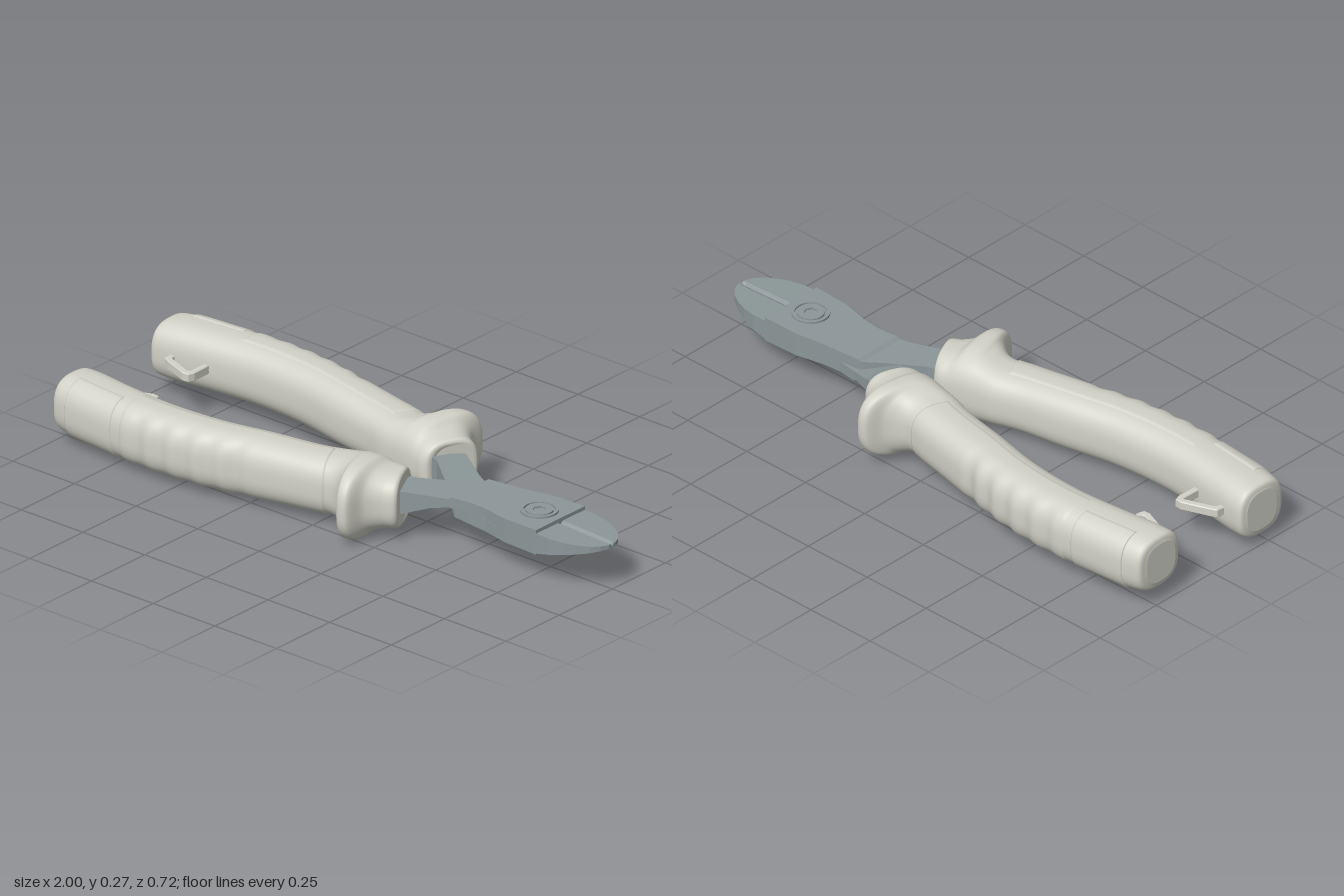
import * as THREE from 'three';
import { mergeVertices } from 'three/addons/utils/BufferGeometryUtils.js';

const metal = new THREE.MeshStandardMaterial({ color: 0x8c9799 });
const rubber = new THREE.MeshStandardMaterial({ color: 0xd2d2c8 });
const AXIS = 0.137; // height of the half-turn axis between the two levers

function add(parent, name, geometry, material) {
  const mesh = new THREE.Mesh(geometry, material);
  mesh.name = name;
  parent.add(mesh);
  return mesh;
}

// Smooth surface from f(u, v), both 0..1
function surface(f, nu, nv) {
  const pos = [], index = [];
  for (let i = 0; i <= nu; i++)
    for (let j = 0; j <= nv; j++) pos.push(...f(i / nu, j / nv).toArray());
  for (let i = 0; i < nu; i++)
    for (let j = 0; j < nv; j++) {
      const a = i * (nv + 1) + j, b = a + nv + 1;
      index.push(a, b, a + 1, b, b + 1, a + 1);
    }
  let g = new THREE.BufferGeometry();
  g.setAttribute('position', new THREE.Float32BufferAttribute(pos, 3));
  g.setIndex(index);
  g = mergeVertices(g, 1e-5);
  g.computeVertexNormals();
  return g;
}

// Faceted solid through sections { x, loop: [[z, y], ...] }
function prism(sections) {
  const pos = [];
  const rings = sections.map(s => s.loop.map(([z, y]) => [s.x, y, z]));
  const n = rings[0].length;
  const centre = r => [0, 1, 2].map(k => r.reduce((sum, p) => sum + p[k], 0) / n);
  const tri = (...pts) => pts.forEach(p => pos.push(...p));
  for (let i = 0; i < rings.length - 1; i++)
    for (let j = 0; j < n; j++) {
      const k = (j + 1) % n, A = rings[i], B = rings[i + 1];
      tri(A[j], B[j], A[k], B[j], B[k], A[k]);
    }
  const first = rings[0], last = rings[rings.length - 1];
  for (let j = 0; j < n; j++) {
    const k = (j + 1) % n;
    tri(centre(first), first[j], first[k]);
    tri(centre(last), last[k], last[j]);
  }
  const g = new THREE.BufferGeometry();
  g.setAttribute('position', new THREE.Float32BufferAttribute(pos, 3));
  g.computeVertexNormals();
  return g;
}

// Grip stations: outer x, outer z, inner x, inner z, half height
const stations = [
  [-0.998, 0.29, -0.996, 0.16, 0.068], [-0.99, 0.318, -0.985, 0.137, 0.09],
  [-0.95, 0.33, -0.94, 0.137, 0.097], [-0.8, 0.345, -0.8, 0.155, 0.098],
  [-0.6, 0.357, -0.62, 0.17, 0.098], [-0.4, 0.342, -0.42, 0.158, 0.098],
  [-0.2, 0.298, -0.24, 0.122, 0.098], [-0.02, 0.262, -0.08, 0.09, 0.095],
  [0.08, 0.245, 0, 0.065, 0.098], [0.13, 0.275, 0.06, 0.055, 0.11],
  [0.165, 0.328, 0.1, 0.047, 0.122], [0.195, 0.325, 0.14, 0.04, 0.12],
  [0.215, 0.26, 0.17, 0.035, 0.1], [0.25, 0.22, 0.195, 0.03, 0.092],
  [0.283, 0.2, 0.215, 0.035, 0.088], [0.288, 0.19, 0.222, 0.045, 0.08],
  [0.286, 0.18, 0.224, 0.06, 0.07],
];
const LAST = stations.length - 1;
const outerCurve = new THREE.CatmullRomCurve3(stations.map(s => new THREE.Vector3(s[0], s[4], s[1])));
const innerCurve = new THREE.CatmullRomCurve3(stations.map(s => new THREE.Vector3(s[2], s[4], s[3])));

// Point on the grip: rounded-box section with finger grooves on the outside
function gripPoint(t, angle, lift = 0) {
  const o = outerCurve.getPoint(t), i = innerCurve.getPoint(t);
  const round = v => Math.sign(v) * Math.pow(Math.abs(v), 2 / 2.7);
  const c = round(Math.cos(angle)), s = round(Math.sin(angle));
  const half = o.clone().sub(i).setY(0).multiplyScalar(0.5);
  const grow = 1 + lift / half.length();
  const p = o.clone().add(i).multiplyScalar(0.5).setY(0).addScaledVector(half, c * grow);
  p.y = s * (o.y + lift) - 0.012;
  if (p.x > -0.67 && p.x < -0.22)
    p.z -= 0.01 * Math.max(0, c) * (0.5 - 0.5 * Math.cos(2 * Math.PI * (p.x + 0.67) / 0.09));
  return p;
}

// Thin raised panel over stations a..b, wrapping the outer side
function panel(a, b, reach) {
  return surface((u, v) => {
    const border = Math.min(u, 1 - u, v, 1 - v) < 1e-6;
    const t = (a + (b - a) * u) / LAST;
    return gripPoint(t, reach * (2 * v - 1), border ? -0.003 : 0.003);
  }, 80, 40);
}

// Strap loop on the inner side of a grip
function strapLoop() {
  const shape = new THREE.Shape();
  const outline = [[-0.915, 0.155], [-0.91, 0.115], [-0.89, 0.105], [-0.8, 0.07], [-0.78, 0.072],
    [-0.773, 0.09], [-0.775, 0.165], [-0.79, 0.165], [-0.788, 0.092], [-0.797, 0.086],
    [-0.885, 0.12], [-0.898, 0.128], [-0.9, 0.155]];
  shape.setFromPoints(outline.map(([x, z]) => new THREE.Vector2(x, -z)));
  const g = new THREE.ExtrudeGeometry(shape, {
    depth: 0.024, bevelEnabled: true, bevelSize: 0.003, bevelThickness: 0.003, bevelSegments: 1 });
  g.rotateX(-Math.PI / 2);
  return g.translate(0, -0.024, 0);
}

// One lever: grip, strap loop, steel arm and its lapped half of the head
function lever(name) {
  const g = new THREE.Group();
  g.name = name;
  const mid = t => outerCurve.getPoint(t).add(innerCurve.getPoint(t)).multiplyScalar(0.5).setY(-0.012);
  add(g, 'gripBody', surface((u, v) => gripPoint(u, v * 2 * Math.PI), 180, 56), rubber);
  add(g, 'gripRearEnd', surface((u, v) => mid(0).lerp(gripPoint(0, v * 2 * Math.PI), u), 1, 56), rubber);
  add(g, 'gripFrontEnd', surface((u, v) => gripPoint(1, v * 2 * Math.PI).lerp(mid(1), u), 1, 56), rubber);
  add(g, 'rearPad', panel(2.15, 3.35, 1.45), rubber);
  add(g, 'fingerSleeve', panel(3.5, 7.6, 1.85), rubber);
  add(g, 'strapLoop', strapLoop(), rubber);

  // x, z range, y range
  const arm = [[0.12, 0.08, 0.19, -0.057, 0.03], [0.25, 0.045, 0.165, -0.057, 0.03],
    [0.36, -0.025, 0.118, -0.014, 0.027], [0.42, -0.075, 0.098, 0, 0.028],
    [0.43, -0.08, 0.096, 0, 0.036], [0.5, -0.088, 0.087, 0, 0.037], [0.57, -0.095, 0.093, 0, 0.038],
    [0.66, -0.112, 0.112, 0, 0.04], [0.79, -0.115, 0.115, 0, 0.042]];
  add(g, 'armAndHead', prism(arm.map(([x, z0, z1, y0, y1]) => (
    { x, loop: [[z1, y0], [z1, y1], [z0, y1], [z0, y0]] }))), metal);
  return g;
}

// Tapered cutting jaw, hollowed below towards its edge
function jaw(side) {
  const stops = [[0.78, 0.115], [0.84, 0.114], [0.89, 0.104], [0.93, 0.088],
    [0.965, 0.067], [0.988, 0.042], [1, 0.016]];
  return prism(stops.map(([x, w]) => {
    const k = (x - 0.78) / 0.22;
    const top = 0.167 - 0.01 * k, low = 0.097 + 0.047 * k;
    const notch = Math.min(0.012, w * 0.4);
    const loop = [[w, low], [w, top], [notch, top], [0.001, top - 0.008],
      [0.001, top - 0.012], [w * 0.4, low]].map(([z, y]) => [z * side, y]);
    return { x, loop: side > 0 ? loop : loop.reverse() };
  }));
}

// Flat ring with a round or hexagonal opening, lying in the xz plane
function ring(radius, hole, sides, depth) {
  const shape = new THREE.Shape().absarc(0, 0, radius, 0, Math.PI * 2);
  const pts = [];
  for (let i = 0; i < sides; i++) {
    const a = -i / sides * Math.PI * 2;
    pts.push(new THREE.Vector2(hole * Math.cos(a), hole * Math.sin(a)));
  }
  shape.holes.push(new THREE.Path(pts));
  const g = new THREE.ExtrudeGeometry(shape, { depth, bevelEnabled: false, curveSegments: 24 });
  return g.rotateX(-Math.PI / 2);
}

export function createModel() {
  const model = new THREE.Group();
  model.name = 'cuttingPliers';

  // The second lever is the first one turned half round the long axis
  const left = lever('frontLever'), right = lever('backLever');
  left.position.y = right.position.y = AXIS;
  right.rotation.x = Math.PI;
  model.add(left, right);

  add(model, 'frontJaw', jaw(1), metal);
  add(model, 'backJaw', jaw(-1), metal);

  // Pivot bolt
  const bolt = new THREE.Group();
  bolt.name = 'pivotBolt';
  bolt.position.x = 0.705;
  add(bolt, 'boltRim', ring(0.06, 0.05, 36, 0.007), metal).position.y = 0.178;
  add(bolt, 'boltHead', ring(0.043, 0.022, 6, 0.007), metal).position.y = 0.178;
  add(bolt, 'boltFoot', new THREE.CylinderGeometry(0.056, 0.056, 0.01, 36), metal).position.y = 0.096;
  model.add(bolt);
  return model;
}
